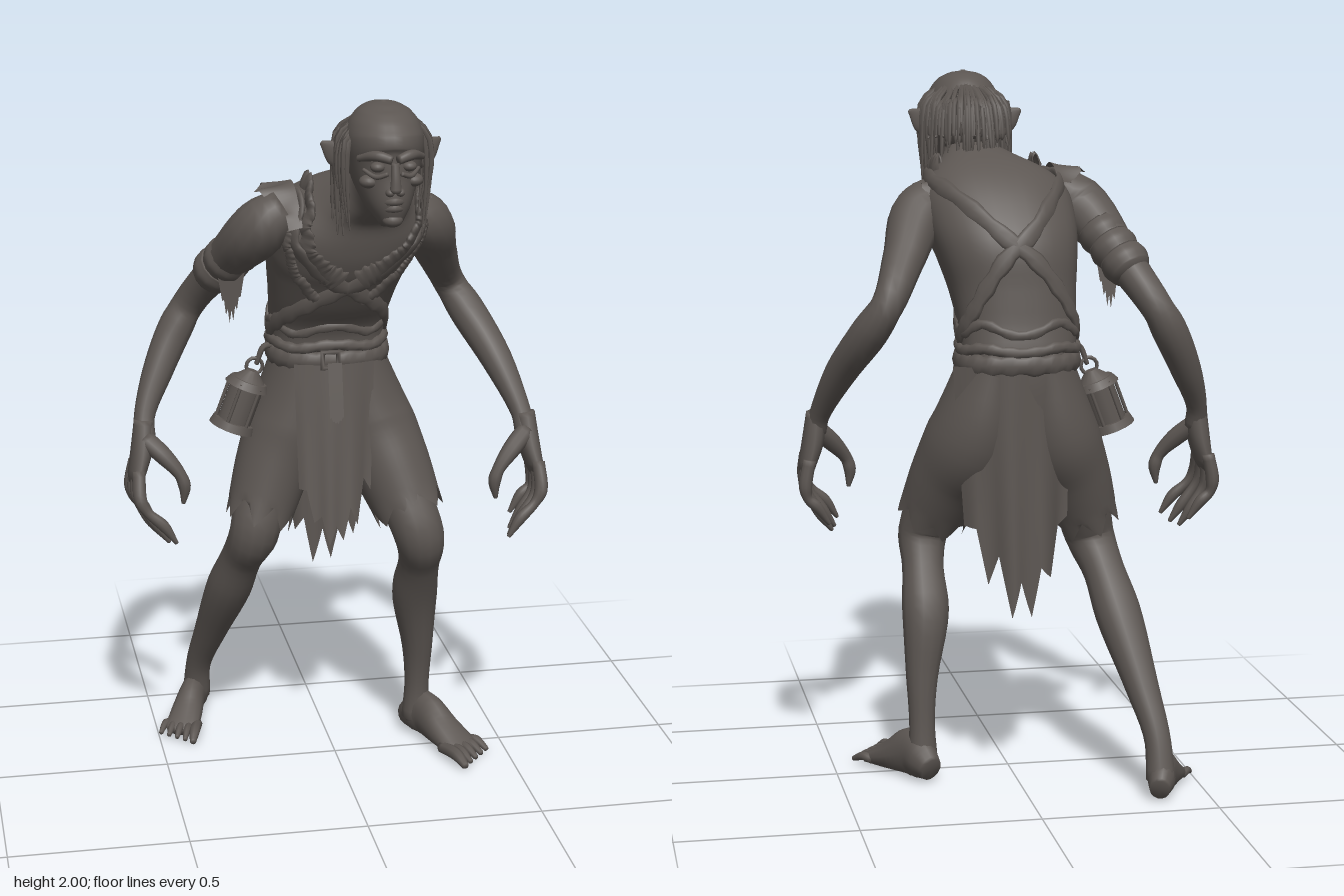
import * as THREE from 'three';

const V = (x, y, z) => new THREE.Vector3(x, y, z);
const X = V(1, 0, 0), Z = V(0, 0, 1);
let seed = 7;
const rnd = () => (seed = (seed * 16807) % 2147483647) / 2147483647;
const spline = pts => new THREE.CatmullRomCurve3(pts);
const boxy = (s, e) => Math.sign(s) * Math.abs(s) ** e;

export function createModel() {
  seed = 7;
  const model = new THREE.Group();
  const umber = new THREE.MeshStandardMaterial({ color: 0x5c5652, side: THREE.DoubleSide });
  umber.name = 'dark umber';

  const add = (name, geo, parent = model) => {
    const m = new THREE.Mesh(geo, umber);
    m.name = name;
    parent.add(m);
    return m;
  };
  // surface from a grid of points: rows of equal length
  const grid = (rows, loop) => {
    const n = rows[0].length, pos = [], idx = [], last = loop ? n : n - 1;
    rows.forEach(r => r.forEach(p => pos.push(p.x, p.y, p.z)));
    for (let i = 0; i < rows.length - 1; i++) for (let j = 0; j < last; j++) {
      const a = i * n + j, b = i * n + (j + 1) % n;
      idx.push(a, b, a + n, b, b + n, a + n);
    }
    const g = new THREE.BufferGeometry();
    g.setAttribute('position', new THREE.Float32BufferAttribute(pos, 3));
    g.setIndex(idx);
    g.computeVertexNormals();
    return g;
  };
  const onRing = (c, u, v, a, e = 1) => c.clone().addScaledVector(u, boxy(Math.cos(a), e)).addScaledVector(v, boxy(Math.sin(a), e));
  const ring = (c, u, v, seg, e) => Array.from({ length: seg }, (_, j) => onRing(c, u, v, j / seg * Math.PI * 2, e));
  // irregular torn edge: random depth at every third point, straight between
  const torn = n => {
    const knots = Array.from({ length: Math.ceil(n / 3) + 1 }, (_, i) => (i % 2 ? 0.55 + 0.45 * rnd() : 0.25 * rnd()));
    return i => THREE.MathUtils.lerp(knots[Math.floor(i / 3)], knots[Math.min(Math.floor(i / 3) + 1, knots.length - 1)], (i % 3) / 3);
  };
  // tapered limb: stations [x, y, z, radius, radius2], optional torn open end
  const limb = (name, st, { seg = 14, n = st.length * 4, ref = X, jag = 0, parent = model } = {}) => {
    const path = spline(st.map(s => V(s[0], s[1], s[2])));
    const rad = spline(st.map((s, i) => V(s[3], s[4] ?? s[3], i)));
    const rows = [];
    for (let i = 0; i <= n; i++) {
      const c = path.getPoint(i / n), t = path.getTangent(i / n), r = rad.getPoint(i / n);
      const u = ref.clone().addScaledVector(t, -ref.dot(t)).normalize();
      const v = t.clone().cross(u);
      const row = k => ring(c, u.clone().multiplyScalar(r.x * k), v.clone().multiplyScalar(r.y * k), seg);
      if (!jag && i === 0) rows.push(row(0));
      rows.push(row(1));
      if (!jag && i === n) {
        c.addScaledVector(t, r.x * 0.35);
        rows.push(row(0.7), row(0));
      }
      if (jag && i === n) {
        const depth = torn(seg);
        rows[rows.length - 1].forEach((p, j) => p.addScaledVector(t, (0.5 - depth(j)) * 2 * jag));
      }
    }
    return add(name, grid(rows, true), parent);
  };
  // torn cloth hanging from an edge
  const rag = (name, a, b, drop, { bulge = V(0, 0, 0), jag = 0.25, point = 0.4, taper = 0 } = {}) => {
    const nx = 30, ny = 8, depth = torn(nx);
    const rows = [];
    for (let j = 0; j <= ny; j++) rows.push(Array.from({ length: nx + 1 }, (_, i) => {
      const s = i / nx, t = j / ny;
      const l = 1 - point + point * Math.sin(Math.PI * s) - jag * depth(i);
      return a.clone().lerp(b, 0.5 + (s - 0.5) * (1 - taper * t)).addScaledVector(drop, t * l)
        .addScaledVector(bulge, Math.sin(Math.PI * s) + 0.15 * t * Math.sin(s * 19));
    }));
    add(name, grid(rows, false));
  };

  // torso and neck: x, y, z, half width, half depth, forward tilt
  const T = [
    [0, 1.04, -0.12, 0.165, 0.13, 0], [0, 1.18, -0.12, 0.163, 0.138, 0], [-0.005, 1.28, -0.115, 0.163, 0.132, 0],
    [0, 1.4, -0.07, 0.176, 0.156, 0.1], [0.01, 1.5, -0.035, 0.196, 0.178, 0.2], [0.02, 1.582, 0.015, 0.212, 0.168, 0.4],
    [0.035, 1.66, 0.08, 0.205, 0.138, 0.65], [0.06, 1.715, 0.14, 0.13, 0.1, 0.8],
    [0.075, 1.75, 0.21, 0.078, 0.08, 0.9], [0.08, 1.805, 0.28, 0.066, 0.075, 0.8]];
  const tc = spline(T.map(s => V(s[0], s[1], s[2]))), tr = spline(T.map(s => V(s[3], s[4], s[5])));
  const frame = k => {
    const c = tc.getPoint(k / 9), r = tr.getPoint(k / 9);
    return [c, V(r.x, 0, 0), V(0, Math.sin(r.z) * r.y, -Math.cos(r.z) * r.y)];
  };
  add('torso', grid(Array.from({ length: 46 }, (_, i) => ring(...frame(i / 5), 40, 0.84)), true));
  // band lying on the torso along [station, angle] points (-PI/2 is the front)
  const band = (name, pts, width, thick, wob = 0) => {
    const path = spline(pts.map(p => V(p[0], p[1], 0))), n = 72;
    const on = t => {
      const q = path.getPoint(t), [c, u, v] = frame(q.x + wob * Math.sin(t * 31));
      return [onRing(c, u.multiplyScalar(1.01), v.multiplyScalar(1.01), q.y, 0.84), c];
    };
    const rows = [];
    for (let i = 0; i <= n; i++) {
      const [p, c] = on(i / n);
      const t = on(Math.min(1, i / n + 0.015))[0].sub(on(Math.max(0, i / n - 0.015))[0]).normalize();
      const o = p.clone().sub(c).normalize();
      const w = o.clone().cross(t).normalize(), out = t.clone().cross(w);
      rows.push(ring(p, w.multiplyScalar(width * (1 + 0.15 * Math.sin(i * 1.7))), out.multiplyScalar(thick), 8));
    }
    add(name, grid(rows, true));
  };
  const P = Math.PI;
  const sling = [[2, 0], [2.8, -0.8], [3.9, -P / 2], [5.6, -2.3], [6.6, -P], [5.6, -3.9], [4, -1.5 * P], [2.7, -5.5], [2, -2 * P]];
  band('rightShoulderStrap', sling, 0.024, 0.01);
  band('leftShoulderStrap', sling.map(([k, a]) => [k, P - a]), 0.024, 0.01);
  [-1, 1].forEach(s => {
    const at = d => -P / 2 + s * d;
    band('vestCollar', [[4.3, at(0.1)], [5.3, at(0.45)], [6.3, at(0.9)], [6.8, at(1.6)], [6.5, at(2.3)]], 0.036, 0.011, 0.04);
    band('vestFold', [[3.2, at(0.25)], [4.3, at(0.7)], [5.4, at(0.9)], [6.2, at(1.2)]], 0.018, 0.009, 0.05);
  });
  const loop = k => [0, 1, 2, 3, 4, 5, 6].map(i => [k, -i * P / 3]);
  band('belt', loop(1.35), 0.028, 0.014);
  band('waistRoll', loop(1.75), 0.016, 0.013, 0.06);
  band('waistFold', loop(2.25), 0.014, 0.008, 0.12);
  const buckle = add('buckle', new THREE.TorusGeometry(0.032, 0.009, 6, 4));
  buckle.position.set(-0.02, 1.225, 0.04);
  buckle.rotation.z = P / 4;
  rag('beltTail', V(-0.03, 1.22, 0.055), V(0.01, 1.22, 0.055), V(0, -0.17, 0.035), { jag: 0.05, point: 0.1 });

  // ragged vest edges over the shoulders
  rag('rightVestEdge', V(-0.12, 1.64, 0.17), V(-0.14, 1.70, -0.03), V(-0.105, -0.02, 0), { bulge: V(0, 0.075, 0), point: 0.6, jag: 0.2 });
  rag('leftVestEdge', V(0.18, 1.62, 0.15), V(0.18, 1.67, -0.04), V(0.085, -0.03, 0), { bulge: V(0, 0.07, 0), point: 0.6, jag: 0.2 });

  // arms
  limb('leftArm', [[0.18, 1.665, 0.06, 0.06], [0.245, 1.61, 0.035, 0.078], [0.305, 1.5, -0.075, 0.06], [0.365, 1.385, -0.172, 0.046],
    [0.415, 1.3, -0.14, 0.052], [0.48, 1.18, -0.04, 0.045], [0.53, 1.05, 0.05, 0.03], [0.54, 1, 0.075, 0.032]]);
  limb('rightArm', [[-0.15, 1.68, 0.09, 0.06], [-0.225, 1.62, 0.075, 0.08], [-0.31, 1.49, -0.06, 0.057], [-0.39, 1.36, -0.16, 0.046],
    [-0.43, 1.29, -0.16, 0.05], [-0.49, 1.17, -0.12, 0.043], [-0.535, 1.06, -0.07, 0.03], [-0.54, 1, -0.045, 0.032]]);
  // wrapped cloth on the right upper arm
  [0, 1, 2].forEach(i => {
    const x = -0.262 - i * 0.024, y = 1.565 - i * 0.037, z = 0.012 - i * 0.036;
    limb('armWrap', [[x, y, z, 0.064], [x - 0.012, y - 0.02, z - 0.018, 0.069], [x - 0.024, y - 0.04, z - 0.036, 0.061]]);
  });
  rag('armWrapEnd', V(-0.335, 1.5, 0.0), V(-0.25, 1.52, 0.01), V(0, -0.18, -0.01), { taper: 0.4 });

  // hands: palm, four curling fingers and a thumb
  const hand = (name, s, y, z0) => {
    const g = new THREE.Group();
    g.name = name;
    const at = (x, dy, z, r, r2) => [s * (0.54 + x), y + dy, z0 + z, r, r2];
    const o = { ref: Z, parent: g, seg: 10 };
    limb('palm', [at(0, 0.04, -0.005, 0.028), at(0.008, -0.04, 0.005, 0.048, 0.031), at(0.026, -0.115, 0.015, 0.066, 0.024)], o);
    for (let i = 0; i < 4; i++) {
      const z = (i - 1.5) * 0.038, d = i === 0 ? 0.03 : i === 3 ? 0.015 : 0, c = -0.014 * i;
      limb('finger', [at(0.024, -0.09, z + 0.01, 0.018), at(0.037 + c * 0.3, -0.165, z * 1.3 + 0.025, 0.019),
        at(0.03 + c * 0.6, -0.2, z * 1.35 + 0.03, 0.014), at(0.004 + c, -0.255 + d, z * 1.4 + 0.035, 0.016),
        at(-0.03 + c, -0.305 + d, z * 1.4 + 0.04, 0.006)], o);
    }
    limb('thumb', [at(0, -0.01, 0.015, 0.028), at(-0.05, -0.055, 0.045, 0.026), at(-0.092, -0.105, 0.065, 0.018),
      at(-0.104, -0.14, 0.068, 0.018), at(-0.1, -0.19, 0.068, 0.006)], { ...o, ref: V(0, 0.3, 1).normalize() });
    model.add(g);
  };
  hand('leftHand', 1, 1.01, 0.07);
  hand('rightHand', -1, 1.01, -0.05);

  // legs
  limb('leftLeg', [[0.13, 1, -0.08, 0.09], [0.2, 0.8, 0.03, 0.08], [0.235, 0.69, 0.072, 0.072], [0.242, 0.6, 0.03, 0.06],
    [0.245, 0.48, -0.035, 0.067], [0.262, 0.3, -0.07, 0.046], [0.265, 0.17, -0.085, 0.037], [0.264, 0.06, -0.09, 0.043]]);
  limb('rightLeg', [[-0.13, 1, -0.12, 0.09], [-0.2, 0.8, -0.07, 0.08], [-0.23, 0.69, -0.045, 0.072], [-0.258, 0.6, -0.1, 0.06],
    [-0.288, 0.48, -0.17, 0.066], [-0.33, 0.3, -0.28, 0.048], [-0.358, 0.17, -0.35, 0.038], [-0.362, 0.06, -0.38, 0.042]]);
  // feet point along local z, heel at the origin
  const foot = (name, x, z, turn, size) => {
    const g = new THREE.Group();
    g.name = name;
    limb('sole', [[0, 0.045, -0.005, 0.032, 0.036], [0, 0.064, 0.04, 0.044, 0.06], [0, 0.076, 0.085, 0.043, 0.071],
      [0, 0.05, 0.17, 0.054, 0.048], [0, 0.025, 0.255, 0.06, 0.022]], { parent: g });
    for (let i = 0; i < 5; i++) {
      const tx = (i - 2) * 0.026, l = 0.345 - i * 0.013, r = i ? 0.013 : 0.018;
      limb('toe', [[tx * 0.9, 0.028, 0.22, r], [tx * 1.1, 0.034, l - 0.045, r], [tx * 1.2, 0.017, l, r * 0.6]], { parent: g, seg: 8 });
    }
    g.position.set(x, 0, z);
    g.rotation.y = turn;
    g.scale.set((x > 0 ? 1 : -1) * size, size, size);
    model.add(g);
  };
  foot('leftFoot', 0.25, -0.135, 0.47, 1);
  foot('rightFoot', -0.35, -0.418, -0.37, 0.88);

  // torn shorts with front and back flaps
  limb('leftShortsLeg', [[0.075, 1.2, -0.12, 0.085, 0.135], [0.12, 1, -0.1, 0.125, 0.15], [0.17, 0.88, -0.04, 0.115, 0.125],
    [0.212, 0.765, 0.015, 0.1, 0.105]], { seg: 42, jag: 0.04 });
  limb('rightShortsLeg', [[-0.075, 1.2, -0.12, 0.085, 0.135], [-0.115, 1, -0.115, 0.12, 0.145], [-0.165, 0.88, -0.09, 0.11, 0.12],
    [-0.21, 0.75, -0.06, 0.096, 0.1]], { seg: 42, jag: 0.045 });
  rag('frontFlap', V(-0.12, 1.21, 0.015), V(0.11, 1.21, 0.015), V(-0.01, -0.53, 0.07), { bulge: V(0, 0, 0.025), taper: 0.1, point: 0.3, jag: 0.18 });
  rag('backFlap', V(0.19, 1.21, -0.19), V(-0.14, 1.21, -0.2), V(-0.015, -0.72, -0.01), { bulge: V(0, 0, -0.065), taper: 0.12, point: 0.36, jag: 0.2 });

  // lantern on the right hip
  const lantern = new THREE.Group();
  lantern.name = 'lantern';
  const cyl = (name, r1, r2, h, y, n = 16) => add(name, new THREE.CylinderGeometry(r1, r2, h, n), lantern).position.set(0, y, 0);
  cyl('lanternBase', 0.058, 0.064, 0.022, -0.07);
  cyl('lanternGlass', 0.046, 0.046, 0.12, -0.01);
  cyl('lanternLid', 0.05, 0.062, 0.02, 0.05);
  cyl('lanternCone', 0.016, 0.046, 0.03, 0.072);
  for (let i = 0; i < 6; i++) {
    const b = add('lanternBar', new THREE.CylinderGeometry(0.005, 0.005, 0.12, 6), lantern);
    b.position.set(0.052 * Math.cos(i * P / 3), -0.01, 0.052 * Math.sin(i * P / 3));
  }
  add('lanternRing', new THREE.TorusGeometry(0.022, 0.005, 6, 14), lantern).position.y = 0.1;
  lantern.position.set(-0.255, 1.085, -0.08);
  lantern.rotation.z = -0.36;
  lantern.scale.setScalar(1.06);
  model.add(lantern);
  limb('lanternCord', [[-0.16, 1.24, -0.09, 0.009], [-0.19, 1.24, -0.08, 0.009], [-0.212, 1.19, -0.08, 0.007]], { ref: Z, seg: 6 });

  // head, rising from chin to crown
  limb('head', [[0.08, 1.69, 0.378, 0.028, 0.032], [0.08, 1.73, 0.36, 0.054, 0.072], [0.08, 1.78, 0.325, 0.078, 0.108],
    [0.08, 1.84, 0.29, 0.098, 0.14], [0.08, 1.9, 0.274, 0.105, 0.146], [0.08, 1.945, 0.268, 0.093, 0.122],
    [0.08, 1.976, 0.266, 0.069, 0.09], [0.08, 1.992, 0.266, 0.038, 0.05], [0.08, 1.997, 0.266, 0.008, 0.01]], { seg: 28 });
  const blob = (name, x, y, z, rx, ry, rz) => {
    const m = add(name, new THREE.SphereGeometry(1, 18, 12));
    m.position.set(x, y, z);
    m.scale.set(rx, ry, rz);
  };
  [-1, 1].forEach(s => {
    const x = d => 0.08 + s * d;
    limb('browRidge', [[x(0.008), 1.87, 0.424, 0.012], [x(0.045), 1.88, 0.41, 0.014], [x(0.085), 1.866, 0.362, 0.009]], { ref: V(0, 1, 0) });
    blob('eye', x(0.042), 1.849, 0.4, 0.02, 0.014, 0.019);
    limb('eyeBag', [[x(0.018), 1.832, 0.416, 0.006], [x(0.046), 1.823, 0.402, 0.007], [x(0.074), 1.838, 0.372, 0.005]], { ref: V(0, 1, 0), seg: 8 });
    blob('cheekbone', x(0.06), 1.806, 0.372, 0.026, 0.018, 0.026);
    blob('nostril', x(0.014), 1.785, 0.426, 0.012, 0.011, 0.014);
    // pointed ears
    limb('ear', [[x(0.09), 1.835, 0.265, 0.03, 0.014], [x(0.125), 1.86, 0.25, 0.036, 0.011], [x(0.16), 1.885, 0.235, 0.007, 0.004]], { ref: V(0, 1, 0) });
  });
  limb('nose', [[0.08, 1.862, 0.422, 0.011], [0.08, 1.82, 0.43, 0.013], [0.08, 1.79, 0.431, 0.016]]);
  [[1.757, 0.42], [1.738, 0.416]].forEach(([y, z]) =>
    limb('lip', [[0.038, y - 0.006, z - 0.034, 0.005], [0.08, y + 0.002, z, 0.011], [0.122, y - 0.006, z - 0.034, 0.005]], { ref: V(0, 1, 0), seg: 8 }));
  blob('chin', 0.08, 1.705, 0.392, 0.028, 0.02, 0.025);

  // thin uneven hair: sparse at the sides, longer and trailing on to the back
  blob('hairCap', 0.08, 1.86, 0.215, 0.098, 0.105, 0.11);
  for (let i = 0; i < 120; i++) {
    const a = -0.4 + (P + 0.8) * (i + rnd() * 0.8) / 120, el = 0.25 + 0.85 * rnd();
    const back = Math.max(0, Math.sin(a)), out = 1.03 + 0.13 * rnd() + 0.1 * back;
    const at = (k, y) => [0.08 + 0.106 * k * Math.cos(a), y, 0.262 - 0.145 * k * Math.sin(a)];
    const end = 1.64 + 0.14 * rnd() + 0.09 * back;
    limb('hairStrand', [[...at(Math.cos(el), 1.868 + 0.115 * Math.sin(el)), 0.006], [...at(out * 0.97, 1.895 + 0.02 * rnd()), 0.008],
      [...at(out + 0.05 + 0.08 * back, 1.82), 0.007], [...at(out + 0.16 * (rnd() - 0.6) + 0.2 * back, end), 0.002]],
      { seg: 5, n: 8, ref: V(0.6, 0.1, 0.8).normalize() });
  }
  return model;
}
